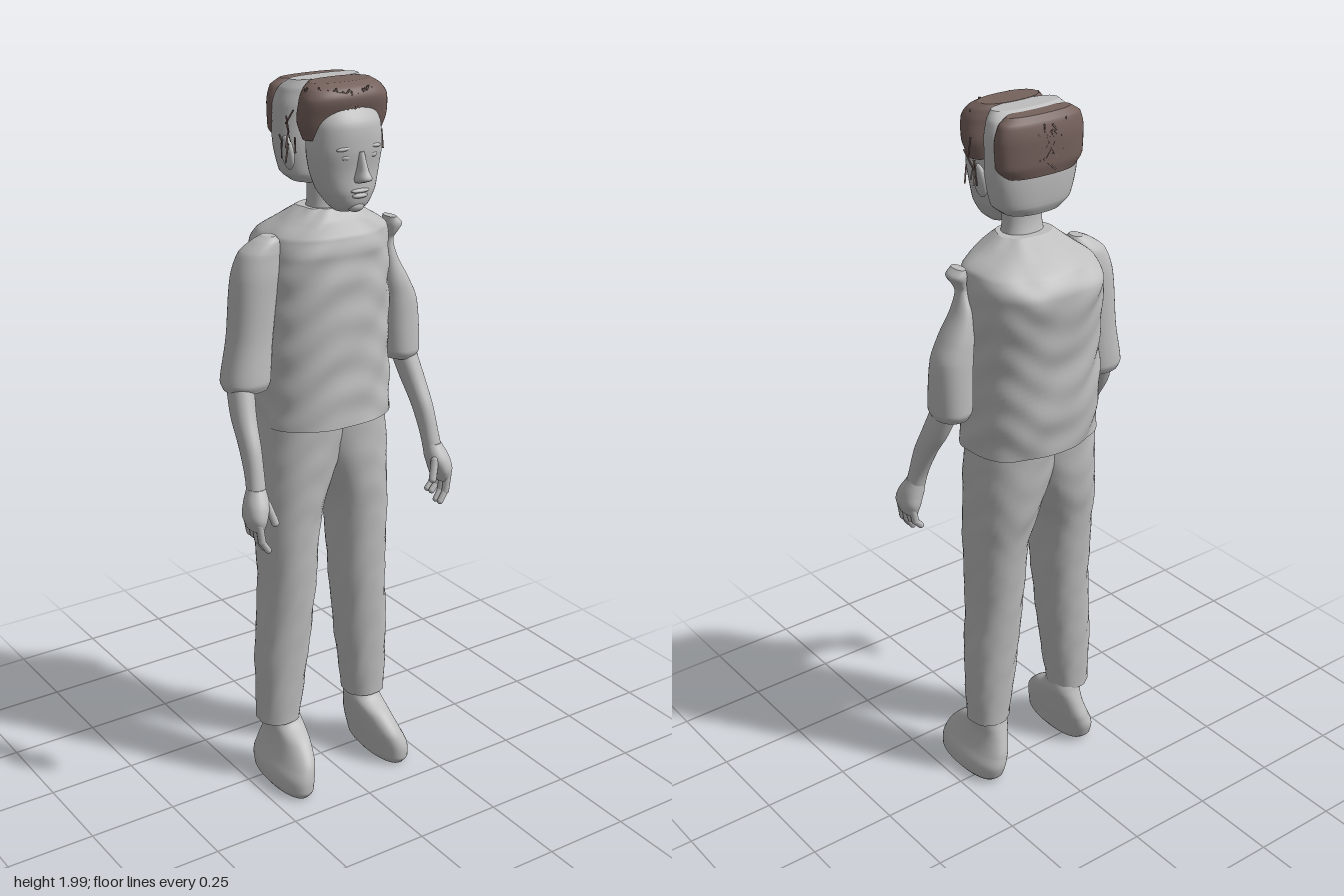
import * as THREE from 'three';

const skin = new THREE.MeshStandardMaterial({ color: 0xbebebe });
skin.name = 'plain grey';
const brown = new THREE.MeshStandardMaterial({ color: 0x76625d });
brown.name = 'hair brown';

// Smooth closed loft; rows run upward as [y, xMin, xMax, zMin, zMax]
function loft(rows, { n = 2.2, bump = 0, seg = 40, steps = 6 } = {}) {
  const centre = new THREE.CatmullRomCurve3(rows.map(([y, a, b, c, d]) => new THREE.Vector3((a + b) / 2, y, (c + d) / 2)));
  const size = new THREE.CatmullRomCurve3(rows.map(([, a, b, c, d]) => new THREE.Vector3((b - a) / 2, 0, (d - c) / 2)));
  const rings = (rows.length - 1) * steps;
  const pos = [], idx = [];
  const power = (v) => Math.sign(v) * Math.abs(v) ** (2 / n);
  const addRing = (i) => {
    const c = centre.getPoint(i / rings), s = size.getPoint(i / rings);
    for (let j = 0; j < seg; j++) {
      const t = (j / seg) * Math.PI * 2;
      const k = bump * (Math.sin(c.y * 62 + 3 * Math.sin(t * 3)) + Math.sin(t * 7 + c.y * 35)) * 0.5;
      pos.push(c.x + (s.x + k) * power(Math.cos(t)), c.y, c.z + (s.z + k) * power(Math.sin(t)));
    }
    return c;
  };
  for (let i = 0; i <= rings; i++) addRing(i);
  for (let i = 0; i < rings; i++) {
    for (let j = 0; j < seg; j++) {
      const a = i * seg + j, b = i * seg + ((j + 1) % seg);
      idx.push(a, a + seg, b, b, a + seg, b + seg);
    }
  }
  // End caps on their own rings keep the rims crisp
  for (const i of [0, rings]) {
    const base = pos.length / 3, c = addRing(i);
    pos.push(c.x, c.y, c.z);
    for (let j = 0; j < seg; j++) {
      const a = base + j, b = base + ((j + 1) % seg);
      idx.push(base + seg, ...(i ? [b, a] : [a, b]));
    }
  }
  const g = new THREE.BufferGeometry();
  g.setAttribute('position', new THREE.Float32BufferAttribute(pos, 3));
  g.setIndex(idx);
  g.computeVertexNormals();
  return g;
}

// Mirror rows to the other side, with an optional shift that depends on height
const mirror = (rows, shift = () => 0) =>
  rows.map(([y, a, b, c, d]) => [y, -b + shift(y), -a + shift(y), c, d]);

export function createModel() {
  const model = new THREE.Group();
  model.name = 'standingFigure';
  const add = (name, geometry, material = skin, parent = model) => {
    const m = new THREE.Mesh(geometry, material);
    m.name = name;
    parent.add(m);
    return m;
  };
  const blob = (name, [x, y, z], [sx, sy, sz]) => {
    const m = add(name, new THREE.SphereGeometry(1, 18, 12));
    m.position.set(x, y, z);
    m.scale.set(sx, sy, sz);
    return m;
  };
  const limb = (name, from, to, r) => {
    const a = new THREE.Vector3(...from), b = new THREE.Vector3(...to);
    const m = add(name, new THREE.CapsuleGeometry(r, a.distanceTo(b), 4, 10));
    m.position.copy(a).lerp(b, 0.5);
    m.quaternion.setFromUnitVectors(new THREE.Vector3(0, 1, 0), b.sub(a).normalize());
  };

  // Shirt body with soft creases
  add('shirt', loft([
    [1.09, -0.18, 0.2, -0.155, 0.135], [1.2, -0.18, 0.2, -0.17, 0.13],
    [1.35, -0.175, 0.2, -0.175, 0.125], [1.48, -0.17, 0.205, -0.19, 0.12],
    [1.55, -0.17, 0.205, -0.198, 0.115], [1.6, -0.15, 0.195, -0.165, 0.105],
    [1.64, -0.1, 0.135, -0.11, 0.085], [1.67, -0.06, 0.09, -0.06, 0.06],
  ], { n: 2.4, bump: 0.004, seg: 72, steps: 10 }));

  // Trousers
  const leg = [
    [0.195, 0.08, 0.2, -0.05, 0.07], [0.4, 0.055, 0.205, -0.065, 0.08],
    [0.6, 0.04, 0.195, -0.08, 0.09], [0.8, 0.028, 0.2, -0.1, 0.095],
    [0.9, 0, 0.2, -0.12, 0.1], [1, -0.04, 0.2, -0.132, 0.103],
    [1.12, -0.08, 0.195, -0.14, 0.105],
  ];
  const lean = (y) => -0.015 + 0.034 * (y - 0.2);
  add('leftTrouserLeg', loft(leg, { bump: 0.002 }));
  add('rightTrouserLeg', loft(mirror(leg, lean), { bump: 0.002 }));

  // Shoes
  const shoe = [
    [0.005, 0.125, 0.205, -0.05, 0.17], [0.025, 0.112, 0.218, -0.072, 0.185],
    [0.06, 0.107, 0.217, -0.083, 0.185], [0.1, 0.1, 0.2, -0.08, 0.172],
    [0.15, 0.093, 0.185, -0.063, 0.125], [0.185, 0.09, 0.182, -0.05, 0.07],
    [0.22, 0.1, 0.18, -0.04, 0.05],
  ];
  add('leftShoe', loft(shoe));
  add('rightShoe', loft(mirror(shoe)));

  // Sleeves: the left one narrows to a small peg, the right one has a full shoulder
  add('leftSleeve', loft([
    [1.21, 0.21, 0.298, -0.05, 0.057], [1.235, 0.2, 0.308, -0.06, 0.065],
    [1.37, 0.195, 0.302, -0.058, 0.055], [1.43, 0.19, 0.275, -0.052, 0.05],
    [1.5, 0.19, 0.236, -0.035, 0.035], [1.55, 0.195, 0.222, -0.012, 0.028],
    [1.57, 0.197, 0.23, -0.015, 0.038], [1.59, 0.195, 0.243, -0.02, 0.044],
    [1.61, 0.2, 0.225, -0.015, 0.038],
  ]));
  add('rightSleeve', loft([
    [1.21, -0.298, -0.18, -0.05, 0.057], [1.235, -0.305, -0.172, -0.06, 0.065],
    [1.35, -0.282, -0.16, -0.06, 0.055], [1.5, -0.268, -0.14, -0.06, 0.055],
    [1.57, -0.243, -0.135, -0.05, 0.05], [1.6, -0.205, -0.14, -0.03, 0.042],
    [1.612, -0.18, -0.15, -0.015, 0.03],
  ]));

  // Forearms and hands
  const forearm = [
    [0.95, 0.262, 0.313, 0.105, 0.157], [1, 0.259, 0.308, 0.09, 0.145],
    [1.08, 0.252, 0.305, 0.05, 0.122], [1.15, 0.242, 0.303, 0.005, 0.088],
    [1.24, 0.225, 0.293, -0.035, 0.05],
  ];
  const palm = [
    [0.875, 0.285, 0.318, 0.11, 0.18], [0.91, 0.272, 0.33, 0.1, 0.187],
    [0.94, 0.262, 0.326, 0.1, 0.178], [0.98, 0.262, 0.31, 0.1, 0.152],
  ];
  for (const [side, s] of [['left', 1], ['right', -1]]) {
    const turn = (rows) => (s > 0 ? rows : mirror(rows));
    add(side + 'Forearm', loft(turn(forearm)));
    add(side + 'Palm', loft(turn(palm)));
    for (let i = 0; i < 4; i++) {
      const z = 0.115 + i * 0.02, drop = i > 1 ? 0.018 : 0;
      limb(side + 'Finger', [s * 0.307, 0.895, z], [s * 0.3, 0.856 - drop / 2, z], 0.0105);
      limb(side + 'FingerTip', [s * 0.3, 0.856 - drop / 2, z], [s * 0.282, 0.837 - drop, z + 0.001], 0.009);
    }
    limb(side + 'Thumb', [s * 0.272, 0.94, 0.16], [s * 0.257, 0.89, 0.172], 0.011);
  }

  // Neck, face and back of the skull
  add('neck', loft([
    [1.63, -0.05, 0.08, -0.05, 0.06], [1.7, -0.043, 0.068, -0.03, 0.05], [1.78, -0.045, 0.07, -0.03, 0.05],
  ]));
  add('face', loft([
    [1.675, -0.02, 0.044, 0.07, 0.125], [1.69, -0.038, 0.062, 0.05, 0.152],
    [1.73, -0.065, 0.089, 0.025, 0.162], [1.78, -0.082, 0.104, 0.015, 0.161],
    [1.84, -0.09, 0.112, 0.01, 0.167], [1.9, -0.085, 0.107, 0.01, 0.163],
    [1.955, -0.065, 0.085, 0.02, 0.125],
  ]));
  add('nose', loft([
    [1.757, -0.004, 0.028, 0.145, 0.175], [1.768, -0.008, 0.032, 0.145, 0.2],
    [1.79, -0.001, 0.025, 0.145, 0.19], [1.835, 0.004, 0.02, 0.145, 0.172],
  ], { seg: 16 }));
  blob('upperLip', [0.012, 1.735, 0.16], [0.028, 0.006, 0.01]);
  blob('lowerLip', [0.012, 1.722, 0.159], [0.023, 0.007, 0.01]);
  blob('chin', [0.012, 1.693, 0.14], [0.025, 0.017, 0.018]);
  for (const s of [-1, 1]) {
    blob('eye', [0.012 + s * 0.038, 1.822, 0.151], [0.018, 0.009, 0.012]);
    blob('brow', [0.012 + s * 0.04, 1.845, 0.152], [0.027, 0.007, 0.012]).rotation.z = -s * 0.12;
    blob('ear', [0.012 + s * 0.124, 1.82, 0.018], [0.013, 0.045, 0.024]).rotation.z = -s * 0.15;
  }
  add('skull', loft([
    [1.735, -0.07, 0.095, -0.075, 0.03], [1.76, -0.1, 0.125, -0.086, 0.035],
    [1.85, -0.12, 0.144, -0.092, 0.037], [1.93, -0.12, 0.144, -0.09, 0.037],
    [1.975, -0.108, 0.132, -0.07, 0.035], [1.998, -0.088, 0.112, -0.035, 0.03],
  ], { n: 2.5 }));

  // Hair in a front and a back cap
  add('frontHair', loft([
    [1.86, -0.1, 0.125, 0.035, 0.115], [1.91, -0.116, 0.142, 0.025, 0.128],
    [1.96, -0.11, 0.135, 0.022, 0.142], [1.985, -0.095, 0.12, 0.022, 0.13], [1.999, -0.075, 0.1, 0.025, 0.105],
  ], { n: 2.4 }), brown);
  add('backHair', loft([
    [1.84, -0.095, 0.12, -0.098, -0.02], [1.87, -0.118, 0.142, -0.105, -0.015],
    [1.93, -0.12, 0.145, -0.107, -0.015], [1.975, -0.11, 0.135, -0.1, -0.025], [1.993, -0.085, 0.11, -0.085, -0.032],
  ], { n: 2.3 }), brown);

  // Loose strands scattered over both caps
  let seed = 7;
  const rand = () => (seed = (seed * 16807) % 2147483647) / 2147483647;
  const strands = new THREE.Group();
  strands.name = 'hairStrands';
  model.add(strands);
  const strand = new THREE.BoxGeometry(0.004, 0.05, 0.002);
  for (let i = 0; i < 110; i++) {
    const back = i % 2;
    const t = (back ? Math.PI : 0) + (rand() - 0.5) * 2.3;
    const y = back ? 1.87 + rand() * 0.09 : 1.945 + rand() * 0.025;
    const m = add('strand', strand, brown, strands);
    m.position.set(0.012 + 0.122 * Math.sin(t), y, back ? -0.012 + 0.094 * Math.cos(t) : 0.03 + 0.108 * Math.cos(t));
    m.rotation.set(0, t, (rand() - 0.5) * 2, 'YXZ');
  }
  // Wisps hanging beside the temples
  for (let i = 0; i < 16; i++) {
    const s = i % 2 ? 1 : -1;
    const m = add('wisp', strand, brown, strands);
    m.position.set(0.012 + s * (0.125 + rand() * 0.02), 1.82 + rand() * 0.1, 0.01 + rand() * 0.05);
    m.rotation.set((rand() - 0.5) * 1.2, rand() * 3, (rand() - 0.5) * 1.2);
  }
  return model;
}
